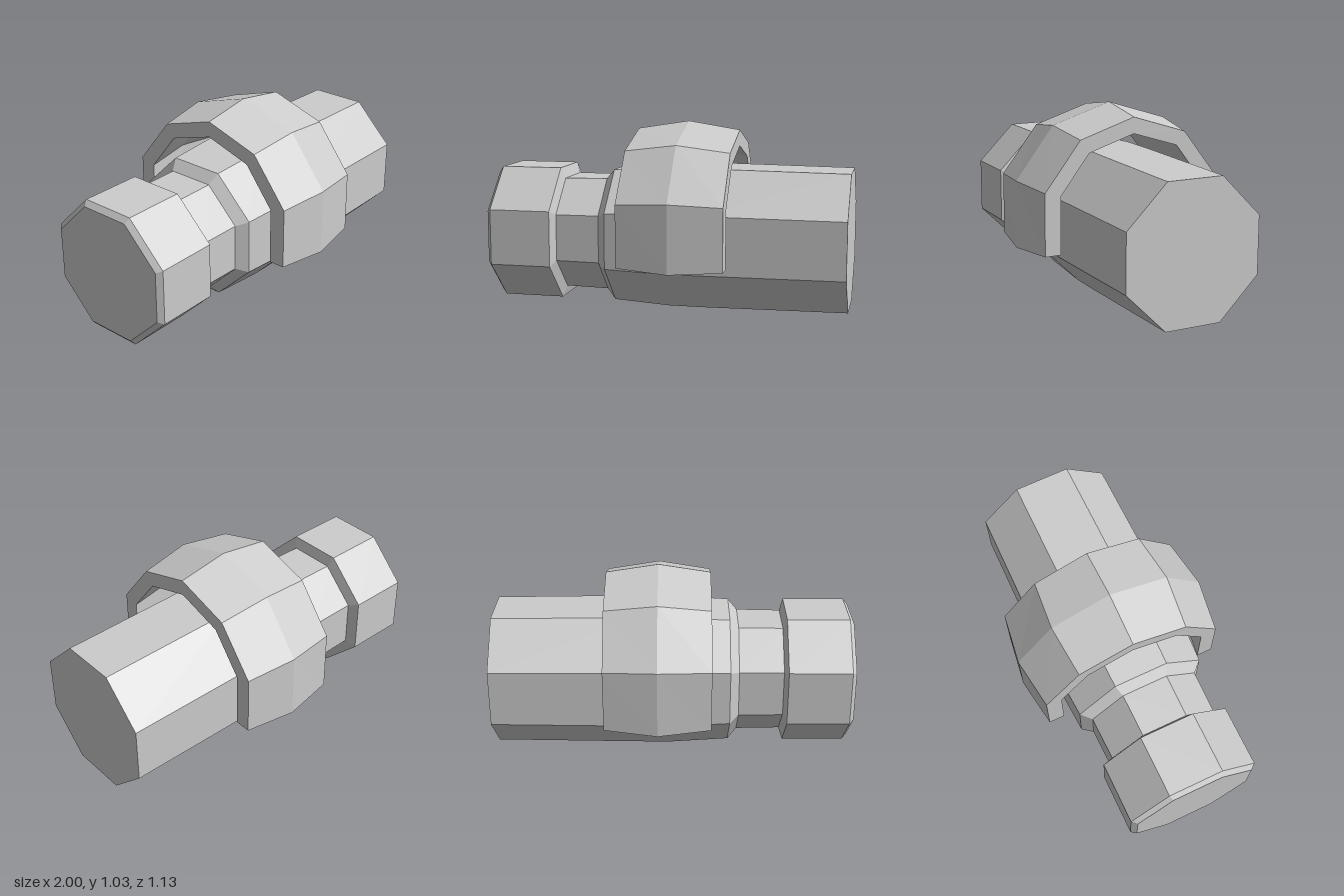
import * as THREE from 'three';

export function createModel() {
  const group = new THREE.Group();
  const grey = new THREE.MeshStandardMaterial({ color: 0xcccccc, flatShading: true });
  grey.name = 'lightGrey';

  // Octagonal barrel with a neck and end collar: [x, half height across flats]
  const profile = [
    [-1, 0], [-1, 0.345], [-0.975, 0.374], [-0.63, 0.374], [-0.61, 0.313],
    [-0.365, 0.317], [-0.315, 0.372], [0, 0.39], [0.2, 0.39], [1, 0.381], [1, 0],
  ].map(([x, r]) => new THREE.Vector2(r / Math.cos(Math.PI / 8), x));
  const barrel = new THREE.LatheGeometry(profile, 8, Math.PI / 8);
  barrel.rotateZ(-Math.PI / 2);
  const body = new THREE.Mesh(barrel, grey);
  body.name = 'barrel';
  body.position.y = 0.395;
  group.add(body);

  // Arched guard: each station holds [z, y] of ridge, outer rim, inner rim, inner ridge
  const half = [
    [[0.566, 0.268], [0.524, 0.283], [0.433, 0.283], [0.477, 0.268]],
    [[0.563, 0.64], [0.522, 0.625], [0.432, 0.6], [0.474, 0.615]],
    [[0.343, 0.928], [0.316, 0.89], [0.265, 0.817], [0.293, 0.855]],
    [[0, 1.036], [0, 0.99], [0, 0.9], [0, 0.945]],
  ];
  const mirrored = half.slice(0, 3).reverse().map(s => s.map(([z, y]) => [-z, y]));
  const stations = [...half, ...mirrored];
  const mid = 0.08, left = 0.37, right = -0.21;
  const positions = [], index = [];
  for (const [ridge, rim, inner, innerRidge] of stations) {
    const loop = [[mid, ridge], [left, rim], [left, inner], [mid, innerRidge], [right, inner], [right, rim]];
    for (const [x, [z, y]] of loop) positions.push(x, y, z);
  }
  for (let k = 0; k < stations.length - 1; k++) {
    for (let i = 0; i < 6; i++) {
      const a = k * 6 + i, b = k * 6 + (i + 1) % 6;
      index.push(a, b, a + 6, b, b + 6, a + 6);
    }
  }
  // End caps
  const last = (stations.length - 1) * 6;
  for (const [a, b, c] of [[0, 1, 2], [0, 2, 3], [0, 3, 4], [0, 4, 5]]) {
    index.push(a, c, b, last + a, last + b, last + c);
  }
  const arch = new THREE.BufferGeometry();
  arch.setAttribute('position', new THREE.Float32BufferAttribute(positions, 3));
  arch.setIndex(index);
  arch.computeVertexNormals();
  const guard = new THREE.Mesh(arch, grey);
  guard.name = 'archedGuard';
  group.add(guard);

  return group;
}
